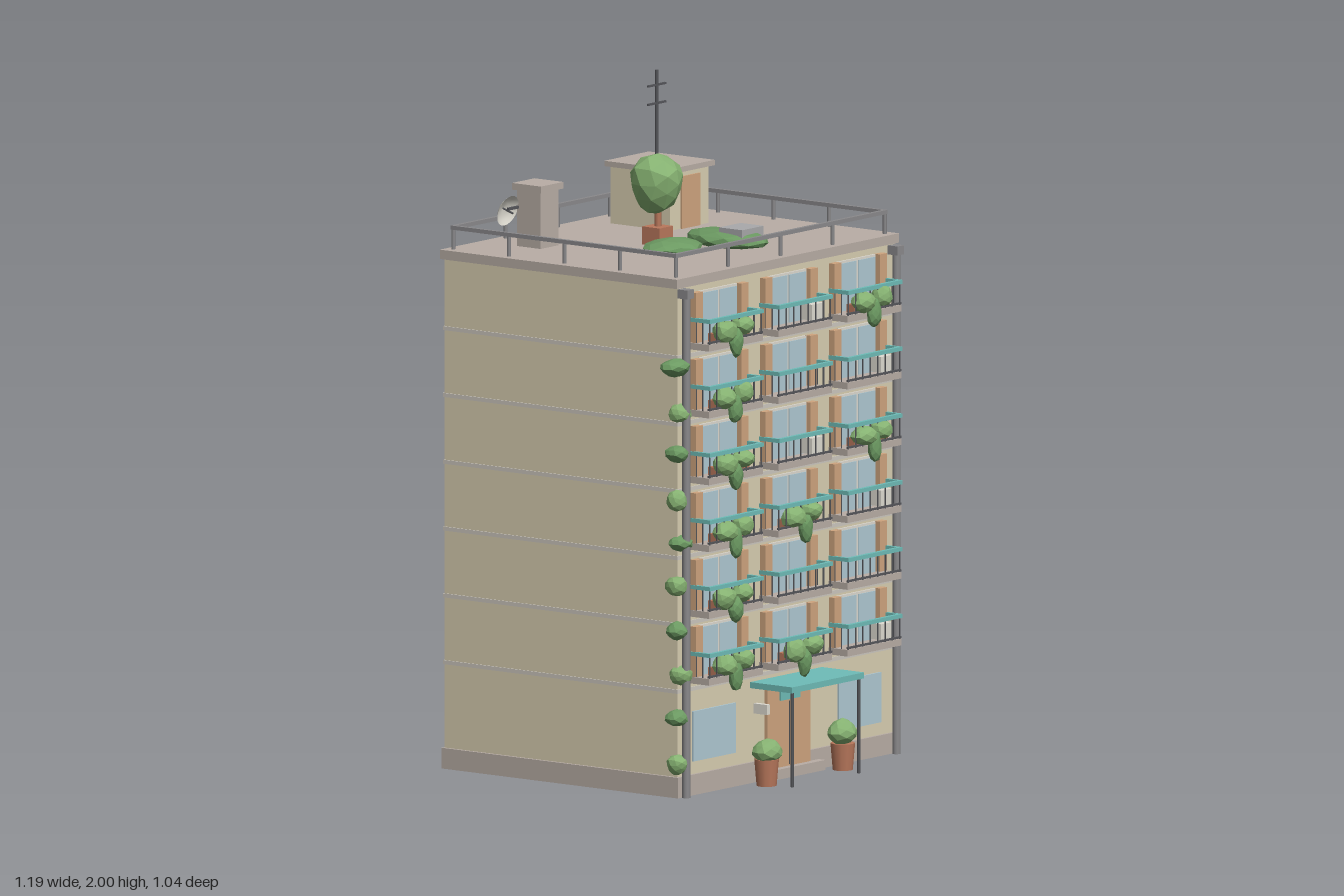
import * as THREE from 'three';

const mat = (color, extra = {}) => new THREE.MeshStandardMaterial({ color, ...extra });
const M = {
  wall: mat(0xd9cfb2), stone: mat(0xb9aea6), band: mat(0xcdc8bf), glass: mat(0xafc9d3), frame: mat(0xdedad0),
  shutter: mat(0xcfa57f), teal: mat(0x6fbdb8), dark: mat(0x55565a), pipe: mat(0x8b8a8c), clay: mat(0xb9785c),
  metal: mat(0xa9a9ab), white: mat(0xdfdcd2),
  leaf: mat(0x86b272, { flatShading: true }), leafDark: mat(0x6c9a62, { flatShading: true }),
  dish: mat(0xdfdcd2, { side: THREE.DoubleSide }),
};
const X0 = -0.007;      // centre line of the facade
const FRONT = 0.36;     // front wall plane
const SIDE = 0.515;     // right wall plane
const FLOORS = 6, STEP = 0.2, SILL = 0.335;

function add(parent, name, geo, material, x, y, z) {
  const m = new THREE.Mesh(geo, material);
  m.name = name;
  m.position.set(x, y, z);
  parent.add(m);
  return m;
}
// Box given by its min and max on each axis
const box = (p, name, material, x0, x1, y0, y1, z0, z1) =>
  add(p, name, new THREE.BoxGeometry(x1 - x0, y1 - y0, z1 - z0), material, (x0 + x1) / 2, (y0 + y1) / 2, (z0 + z1) / 2);
const rod = (p, name, material, r, x, y0, y1, z, sides = 8) =>
  add(p, name, new THREE.CylinderGeometry(r, r, y1 - y0, sides), material, x, (y0 + y1) / 2, z);
function group(parent, name, x = 0, y = 0, z = 0) {
  const g = new THREE.Group();
  g.name = name;
  g.position.set(x, y, z);
  parent.add(g);
  return g;
}
// Faceted foliage: icosahedron with a repeatable bumpy radius
function bush(p, name, x, y, z, rx, ry, rz, seed = 1, material = M.leaf) {
  const geo = new THREE.IcosahedronGeometry(1, 1), pos = geo.attributes.position, v = new THREE.Vector3();
  for (let i = 0; i < pos.count; i++) {
    v.fromBufferAttribute(pos, i);
    const n = Math.sin(v.x * 3.1 + seed * 1.7) + Math.sin(v.y * 4.3 + seed * 2.9) + Math.sin(v.z * 3.7 + seed * 4.1);
    v.multiplyScalar(0.98 + 0.055 * n);
    pos.setXYZ(i, v.x * rx, v.y * ry, v.z * rz);
  }
  geo.computeVertexNormals();
  return add(p, name, geo, material, x, y, z);
}
// Window facing +z with its bottom centre at the origin
function windowUnit(p, name, w, h, shutterW) {
  const g = group(p, name), half = w / 2;
  box(g, 'windowFrame', M.frame, -half, half, 0, h, -0.005, 0.006);
  for (const s of [-1, 1]) {
    add(g, 'pane', new THREE.BoxGeometry(half - 0.01, h - 0.014, 0.006), M.glass, s * half / 2, h / 2, 0.006);
    add(g, 'shutter', new THREE.BoxGeometry(shutterW, h, 0.022), M.shutter, s * (half + shutterW / 2 + 0.002), h / 2, 0.01);
  }
  return g;
}

function addBalcony(p, x, y, k, col) {
  const g = group(p, 'balcony', x, y, FRONT), W = 0.129, D = 0.072;
  box(g, 'balconySlab', M.stone, -W, W, 0, 0.02, 0, D);
  box(g, 'handrail', M.teal, -W, W, 0.083, 0.095, D - 0.008, D + 0.004);
  box(g, 'lowerRail', M.dark, -W, W, 0.022, 0.028, D - 0.005, D + 0.001);
  for (const s of [-1, 1]) {
    const sx = s * (W - 0.005);
    box(g, 'sideHandrail', M.teal, sx - 0.005, sx + 0.005, 0.083, 0.095, 0, D);
    for (const z of [0.02, 0.045]) rod(g, 'sideBaluster', M.dark, 0.0022, sx, 0.02, 0.085, z, 6);
  }
  for (let i = 0; i < 8; i++) rod(g, 'baluster', M.dark, 0.0024, -0.124 + i * 0.248 / 7, 0.02, 0.085, D - 0.002, 6);

  const planted = col === 0 || (col === 1 && (k === 0 || k === 2)) || (col === 2 && (k === 3 || k === 5));
  if (planted) {
    const s = k + col * 7 + 1;
    box(g, 'planter', M.clay, -0.08, 0.08, 0.02, 0.045, 0.03, 0.06);
    bush(g, 'balconyPlant', -0.045, 0.05, 0.067, 0.045, 0.034, 0.035, s);
    bush(g, 'balconyPlant', 0.04, 0.058, 0.067, 0.038, 0.03, 0.033, s + 3);
    bush(g, 'trailingPlant', -0.014, 0.015, 0.083, 0.026, 0.045, 0.02, s + 5, M.leafDark);
  }
  if ((col === 1 && (k === 5 || k === 3)) || (col === 2 && (k === 0 || k === 2 || k === 4)))
    box(g, 'airConditioner', M.white, 0.05, 0.108, 0.025, 0.072, 0.015, 0.058);
}

function addFront(p) {
  [-0.333, 0, 0.333].forEach((dx, col) => {
    for (let k = 0; k < FLOORS; k++) {
      const y = SILL + k * STEP;
      windowUnit(p, 'balconyDoor', 0.18, 0.17, 0.034).position.set(X0 + dx, y, FRONT);
      addBalcony(p, X0 + dx, y, k, col);
    }
  });
  // Ground floor windows
  for (const s of [-1, 1]) {
    const x = X0 + s * 0.35;
    box(p, 'shopWindow', M.glass, x - 0.102, x + 0.102, 0.1, 0.25, FRONT - 0.01, FRONT + 0.006);
  }
  // Entrance
  const e = group(p, 'entrance', X0, 0, 0);
  box(e, 'doorstep', M.stone, -0.145, 0.145, 0, 0.03, FRONT, 0.395);
  box(e, 'frontDoor', M.shutter, -0.103, 0.103, 0.03, 0.285, FRONT - 0.01, FRONT + 0.012);
  box(e, 'doorSeam', M.dark, -0.001, 0.001, 0.035, 0.225, FRONT, FRONT + 0.014);
  box(e, 'transom', M.teal, -0.046, 0.046, 0.23, 0.262, FRONT, FRONT + 0.018);
  box(e, 'canopy', M.teal, -0.173, 0.173, 0.283, 0.301, FRONT, 0.518);
  for (const s of [-1, 1]) {
    rod(e, 'canopyPost', M.dark, 0.005, s * 0.16, 0, 0.285, 0.508);
    add(e, 'flowerPot', new THREE.CylinderGeometry(0.037, 0.03, 0.08, 12), M.clay, s * 0.183, 0.04, 0.43);
    bush(e, 'potPlant', s * 0.183, s < 0 ? 0.103 : 0.112, 0.43, s < 0 ? 0.046 : 0.053, 0.04, 0.044, s + 4);
  }
  box(e, 'wallLamp', M.white, -0.156, -0.14, 0.205, 0.235, FRONT, 0.41);
  // Drainpipes
  for (const x of [-0.512, 0.498]) {
    rod(p, 'drainpipe', M.pipe, 0.012, x, 0, 1.5, 0.38, 10);
    box(p, 'pipeHead', M.pipe, x - 0.016, x + 0.016, 1.495, 1.522, FRONT, 0.397);
  }
  // Climbing plant on the front left corner seen from outside
  const heights = [0.1, 0.24, 0.365, 0.5, 0.635, 0.76, 0.89, 1.03, 1.15, 1.29];
  heights.forEach((y, i) => {
    const top = i === 9;
    bush(p, 'climbingPlant', top ? -0.543 : -0.525 - 0.012 * Math.sin(i * 2.2), y, FRONT,
      top ? 0.05 : 0.036, i % 2 ? 0.028 : 0.03, top ? 0.045 : 0.035, i + 2, i % 2 ? M.leafDark : M.leaf);
  });
}

function addSide(p) {
  const planted = [[0, 2, 3, 4], [2, 4, 5]];
  [0.137, -0.233].forEach((z, c) => {
    for (let k = 0; k < FLOORS; k++) {
      const g = group(p, 'sideWindow', SIDE, SILL + k * STEP, z);
      g.rotation.y = Math.PI / 2;
      windowUnit(g, 'windowUnit', 0.14, 0.17, 0.026);
      box(g, 'sill', M.stone, -0.088, 0.088, -0.012, 0, -0.005, 0.026);
      if (!planted[c].includes(k)) continue;
      box(g, 'windowBox', M.clay, -0.055, 0.055, -0.008, 0.016, 0.014, 0.05);
      for (const s of [-1, 1]) bush(g, 'windowPlant', s * 0.032, 0.021, 0.047, 0.03, 0.022, 0.027, k + s + c * 3 + 2);
    }
  });
}

function addRoof(p) {
  const R = 1.553;
  // Railing
  const rail = group(p, 'roofRailing'), x0 = -0.508, x1 = 0.496, z0 = -0.495, z1 = 0.338, t = 0.006;
  for (const z of [z0, z1]) {
    box(rail, 'railX', M.pipe, x0 - t, x1 + t, 1.612, 1.624, z - t, z + t);
    for (let i = 0; i < 5; i++) rod(rail, 'railPost', M.pipe, 0.006, x0 + (x1 - x0) * i / 4, R, 1.615, z);
  }
  for (const x of [x0, x1]) {
    box(rail, 'railZ', M.pipe, x - t, x + t, 1.612, 1.624, z0, z1);
    for (let i = 1; i < 4; i++) rod(rail, 'railPost', M.pipe, 0.006, x, R, 1.615, z0 + (z1 - z0) * i / 4);
  }
  // Stair house and aerial
  box(p, 'stairHouse', M.wall, 0.145, 0.33, R, 1.727, -0.415, -0.192);
  box(p, 'stairHouseCap', M.stone, 0.13, 0.344, 1.725, 1.741, -0.427, -0.18);
  box(p, 'roofDoor', M.shutter, 0.195, 0.284, R, 1.71, -0.2, -0.186);
  rod(p, 'aerialMast', M.dark, 0.005, 0.29, 1.74, 2, -0.355);
  for (const [y, w] of [[1.955, 0.043], [1.9, 0.043]])
    box(p, 'aerialBar', M.dark, 0.29 - w, 0.29 + w, y - 0.003, y + 0.003, -0.359, -0.353);
  // Chimney and dish
  box(p, 'chimney', M.stone, -0.348, -0.262, R, 1.725, -0.382, -0.293);
  box(p, 'chimneyCap', M.stone, -0.358, -0.25, 1.722, 1.742, -0.392, -0.284);
  const dish = group(p, 'dish', -0.392, 1.67, -0.4);
  dish.rotation.x = 0.3;
  const bowl = [[0, 0], [0.02, 0.003], [0.036, 0.01], [0.048, 0.02]].map(a => new THREE.Vector2(...a));
  add(dish, 'dishBowl', new THREE.LatheGeometry(bowl, 20), M.dish, 0, 0, 0).rotation.x = Math.PI / 2;
  add(dish, 'dishFeed', new THREE.CylinderGeometry(0.003, 0.003, 0.04, 6), M.dark, 0, 0, 0.02).rotation.x = Math.PI / 2;
  box(p, 'dishArm', M.dark, -0.395, -0.345, 1.666, 1.674, -0.382, -0.374);
  // Roof garden
  box(p, 'treePot', M.clay, -0.098, -0.034, R, 1.607, -0.108, -0.042);
  rod(p, 'trunk', M.clay, 0.01, -0.064, 1.6, 1.68, -0.075);
  bush(p, 'treeCrown', -0.063, 1.738, -0.075, 0.084, 0.088, 0.086, 2);
  bush(p, 'roofShrub', -0.185, 1.578, 0.077, 0.106, 0.025, 0.086, 5, M.leafDark);
  bush(p, 'roofShrub', 0.016, 1.58, 0.12, 0.094, 0.026, 0.156, 8, M.leafDark);
  box(p, 'roofVent', M.metal, -0.025, 0.078, 1.578, 1.618, 0.124, 0.21);
}

export function createModel() {
  const g = new THREE.Group();
  g.name = 'apartmentBlock';
  box(g, 'walls', M.wall, -0.529, SIDE, 0.02, 1.53, -0.511, FRONT);
  box(g, 'plinth', M.stone, -0.538, 0.524, 0, 0.062, -0.516, 0.369);
  box(g, 'roofSlab', M.stone, -0.54, 0.527, 1.525, 1.553, -0.521, 0.367);
  // Floor bands
  for (let k = 0; k < FLOORS; k++) {
    const y = 0.312 + k * STEP;
    box(g, 'floorBand', M.band, -0.533, 0.519, y, y + 0.012, -0.515, FRONT + 0.004);
  }
  addFront(g);
  addSide(g);
  addRoof(g);
  return g;
}
